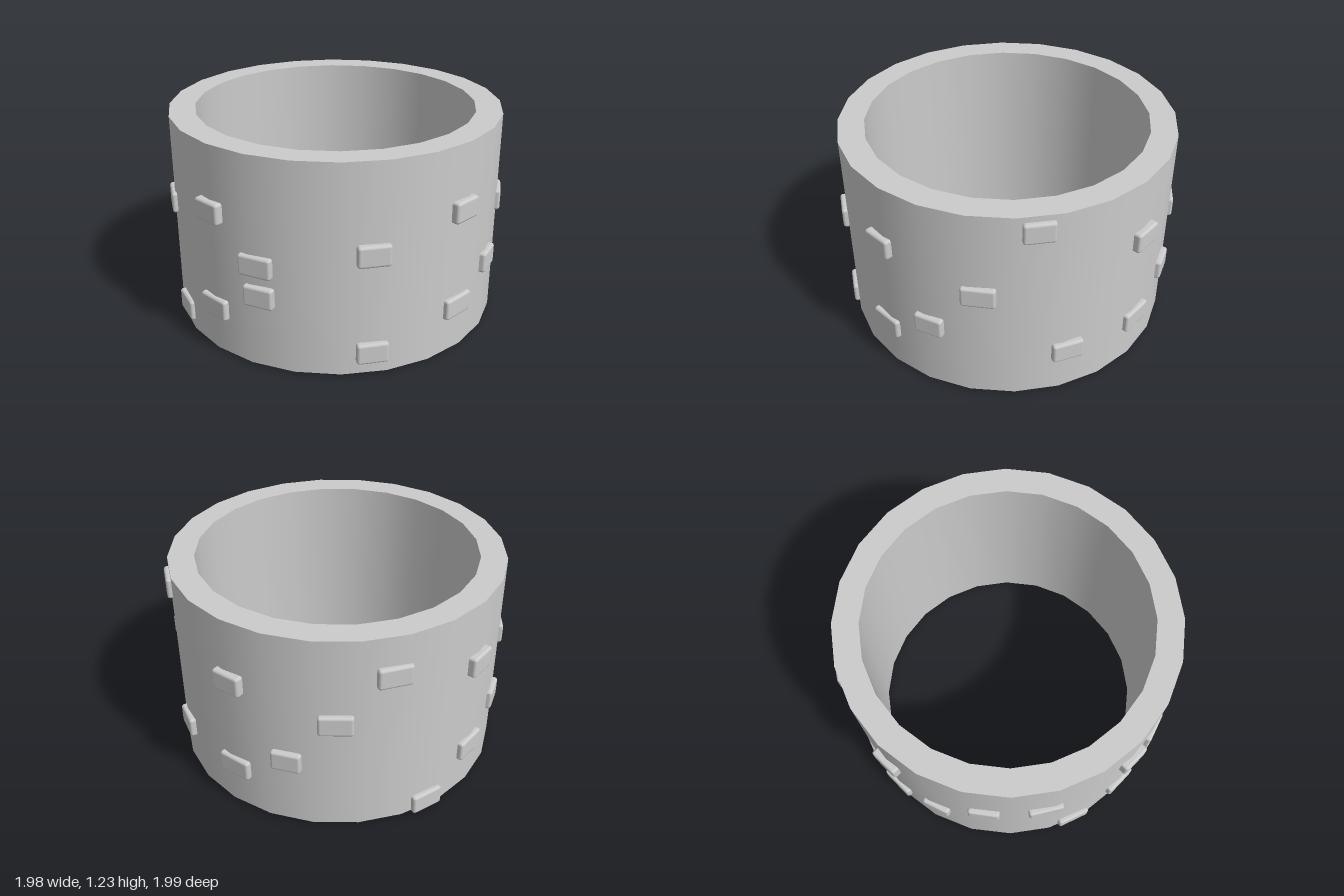
import * as THREE from 'three';
import { RoundedBoxGeometry } from 'three/addons/geometries/RoundedBoxGeometry.js';

const OUTER = 0.96, INNER = 0.81, BOTTOM = 0.015, TOP = 1.235, SIDES = 24;

// Scattered bricks: [angle in degrees from the front, height, width, outer face radius, roll]
const BRICKS = [
  // upper course
  [142, 1.14, 0.17, 0.98, 0], [235.6, 1.0, 0.19, 0.98, 0],
  // row at 0.865
  [0, 0.865, 0.175, 0.993, 0], [88, 0.865, 0.175, 0.99, 0],
  [182, 0.865, 0.175, 0.993, 0], [270, 0.865, 0.175, 0.993, 0],
  // row at 0.72
  [55, 0.725, 0.18, 0.988, 0], [123.5, 0.72, 0.19, 0.98, 0],
  [217.5, 0.72, 0.19, 0.98, 0], [306, 0.72, 0.18, 0.982, 0], [327, 0.73, 0.2, 0.98, 0.03],
  // middle
  [17.5, 0.62, 0.195, 0.98, 0],
  [18.5, 0.445, 0.175, 0.985, 0], [106.5, 0.445, 0.17, 0.985, 0],
  [201.5, 0.445, 0.17, 0.985, 0], [288, 0.445, 0.17, 0.982, 0],
  // lower
  [359.7, 0.285, 0.2, 0.98, 0], [87.5, 0.285, 0.2, 0.978, 0],
  [182, 0.285, 0.2, 0.98, 0], [269.5, 0.285, 0.2, 0.98, 0], [152.5, 0.295, 0.18, 0.985, 0],
  // base course
  [55, 0.145, 0.175, 0.985, 0], [339.3, 0.13, 0.2, 0.98, 0.02], [249.5, 0.065, 0.19, 0.98, 0.03],
];

export function createModel() {
  const model = new THREE.Group();
  model.name = 'brickedRing';
  const stone = new THREE.MeshStandardMaterial({ color: 0xcccccc });

  // Four bands make the hollow wall, with crisp rims
  const wall = new THREE.Group();
  wall.name = 'wall';
  const corners = [[OUTER, BOTTOM], [OUTER, TOP], [INNER, TOP], [INNER, BOTTOM]]
    .map(([r, y]) => new THREE.Vector2(r, y));
  ['outerWall', 'topRim', 'innerWall', 'bottomRim'].forEach((name, i) => {
    const band = new THREE.LatheGeometry([corners[i], corners[(i + 1) % 4]], SIDES);
    const mesh = new THREE.Mesh(band, stone);
    mesh.name = name;
    wall.add(mesh);
  });
  model.add(wall);

  // Bevelled bricks sunk into the outer wall
  const depth = 0.1;
  const bricks = new THREE.Group();
  bricks.name = 'bricks';
  for (const [degrees, y, width, face, roll] of BRICKS) {
    const a = THREE.MathUtils.degToRad(degrees);
    const brick = new THREE.Mesh(new RoundedBoxGeometry(width, 0.122, depth, 2, 0.016), stone);
    const r = face - depth / 2;
    brick.name = 'brick';
    brick.position.set(Math.sin(a) * r, y, Math.cos(a) * r);
    brick.rotation.set(0, a, roll);
    bricks.add(brick);
  }
  model.add(bricks);

  model.position.set(0.003, 0, -0.003);
  return model;
}
